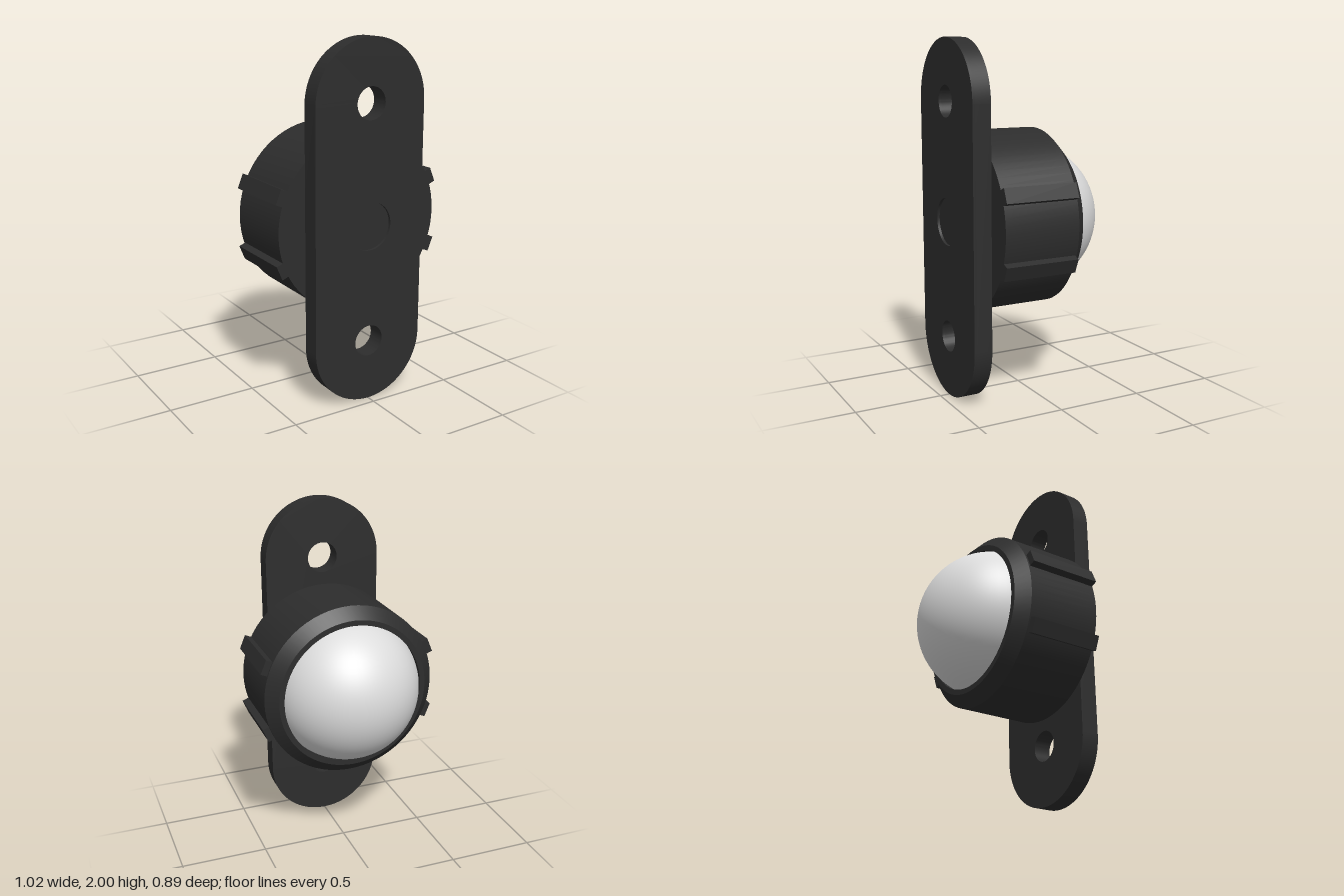
import * as THREE from 'three';
import { toCreasedNormals } from 'three/addons/utils/BufferGeometryUtils.js';

export function createModel() {
  const model = new THREE.Group();
  model.name = 'ballTransferUnit';
  const black = new THREE.MeshStandardMaterial({ name: 'blackPlastic', color: 0x2d2d2d });
  const steel = new THREE.MeshStandardMaterial({ name: 'paleSteel', color: 0xdcdcdc });

  const add = (name, geometry, material) => {
    const mesh = new THREE.Mesh(geometry, material);
    mesh.name = name;
    model.add(mesh);
    return mesh;
  };

  // Mounting plate: a rounded slot outline with circular holes
  const plateLayer = (name, z0, z1, holes) => {
    const shape = new THREE.Shape();
    shape.absarc(0, 1.66, 0.34, 0, Math.PI, false);
    shape.absarc(0, 0.34, 0.34, Math.PI, Math.PI * 2, false);
    shape.closePath();
    for (const [y, r] of holes) {
      shape.holes.push(new THREE.Path().absarc(0, y, r, 0, Math.PI * 2, true));
    }
    const geo = new THREE.ExtrudeGeometry(shape, { depth: z1 - z0, bevelEnabled: false, curveSegments: 32 });
    geo.translate(0, 0, z0);
    add(name, toCreasedNormals(geo, 0.5), black);
  };
  const screwHoles = [[0.345, 0.088], [1.66, 0.088]];
  plateLayer('plate', 0.34, 0.43, screwHoles);
  // Thin front layer leaves a shallow round recess in the middle
  plateLayer('plateFace', 0.43, 0.445, [...screwHoles, [1, 0.133]]);

  // Chamfered housing with an open socket, turned to point backwards
  const profile = [
    [0, -0.34], [0.5, -0.34], [0.5, 0.1], [0.435, 0.165], [0.405, 0.165], [0.425, 0.02], [0.425, -0.3], [0, -0.3],
  ].map(([r, h]) => new THREE.Vector2(r, h));
  const housingGeo = new THREE.LatheGeometry(profile, 72);
  housingGeo.rotateX(-Math.PI / 2);
  const housing = add('housing', toCreasedNormals(housingGeo, 0.5), black);
  housing.position.y = 1;

  // Four grip ribs along the housing sides
  for (const sx of [1, -1]) {
    for (const sy of [1, -1]) {
      const rib = add('rib', new THREE.BoxGeometry(0.08, 0.085, 0.43), black);
      const angle = Math.PI / 8;
      rib.position.set(sx * 0.497 * Math.cos(angle), 1 + sy * 0.497 * Math.sin(angle), 0.125);
      rib.rotation.z = sx * sy * angle;
    }
  }

  // Rolling ball
  const ball = add('ball', new THREE.SphereGeometry(0.421, 64, 40), steel);
  ball.position.set(0, 1, -0.024);

  return model;
}
